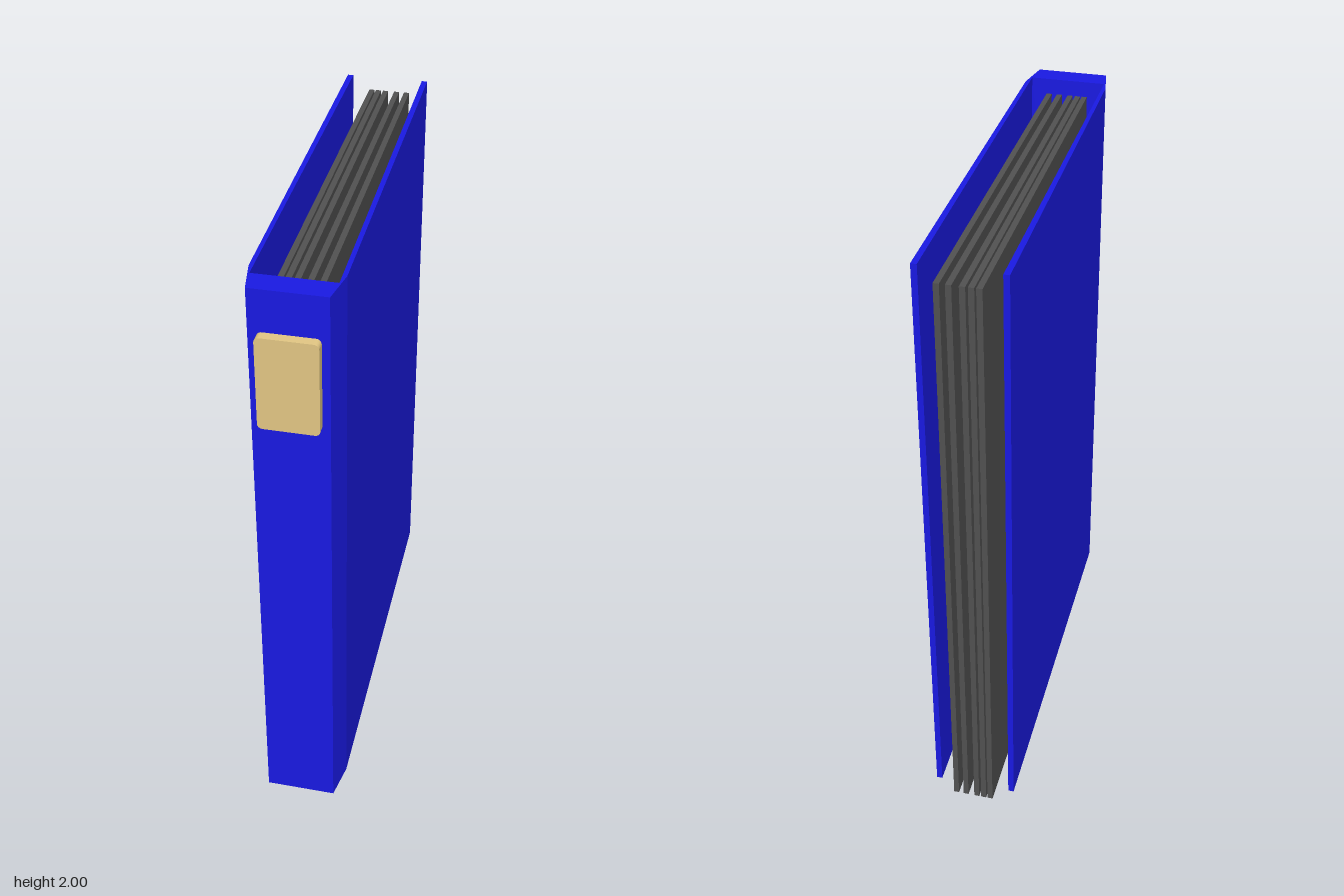
import * as THREE from 'three';

const material = (name, color) => {
  const m = new THREE.MeshStandardMaterial({ color });
  m.name = name;
  return m;
};

// Extrude an outline given as [x, z] points upwards from y0 to y1
function upright(name, outline, y0, y1, mat) {
  const shape = new THREE.Shape(outline.map(([x, z]) => new THREE.Vector2(x, -z)));
  const geo = new THREE.ExtrudeGeometry(shape, { depth: y1 - y0, bevelEnabled: false });
  geo.rotateX(-Math.PI / 2).translate(0, y0, 0);
  const mesh = new THREE.Mesh(geo, mat);
  mesh.name = name;
  return mesh;
}

export function createModel() {
  const blue = material('coverBlue', 0x1a1ae6);
  const grey = material('sheetGrey', 0x525252);
  const tan = material('labelTan', 0xe5c985);
  const group = new THREE.Group();
  group.name = 'binder';

  // Cover: two boards joined by a spine with chamfered edges
  group.add(upright('cover', [
    [-0.132, -0.695], [-0.132, 0.56], [-0.112, 0.671], [0.111, 0.671],
    [0.132, 0.56], [0.132, -0.695], [0.114, -0.695], [0.119, 0.597],
    [-0.12, 0.597], [-0.114, -0.695],
  ], 0.05, 2, blue));

  // Sheets: thin, slightly slanted leaves given by [front x, back x]
  const sheets = [[-0.057, -0.052], [-0.035, -0.03], [-0.01, -0.006], [0.026, 0.031], [0.06, 0.064]];
  const t = 0.0085;
  for (const [front, back] of sheets) {
    group.add(upright('sheet', [
      [front - t, 0.59], [front + t, 0.59], [back + t, -0.7], [back - t, -0.7],
    ], 0, 1.953, grey));
  }

  // Spine label: small plate with rounded corners
  const w = 0.088, h = 0.147, r = 0.015;
  const s = new THREE.Shape();
  s.absarc(w - r, h - r, r, 0, Math.PI / 2);
  s.absarc(r - w, h - r, r, Math.PI / 2, Math.PI);
  s.absarc(r - w, r - h, r, Math.PI, Math.PI * 1.5);
  s.absarc(w - r, r - h, r, Math.PI * 1.5, Math.PI * 2);
  const label = new THREE.Mesh(
    new THREE.ExtrudeGeometry(s, { depth: 0.032, bevelEnabled: false, curveSegments: 4 }), tan);
  label.name = 'spineLabel';
  label.position.set(0, 1.723, 0.668);
  group.add(label);

  return group;
}
